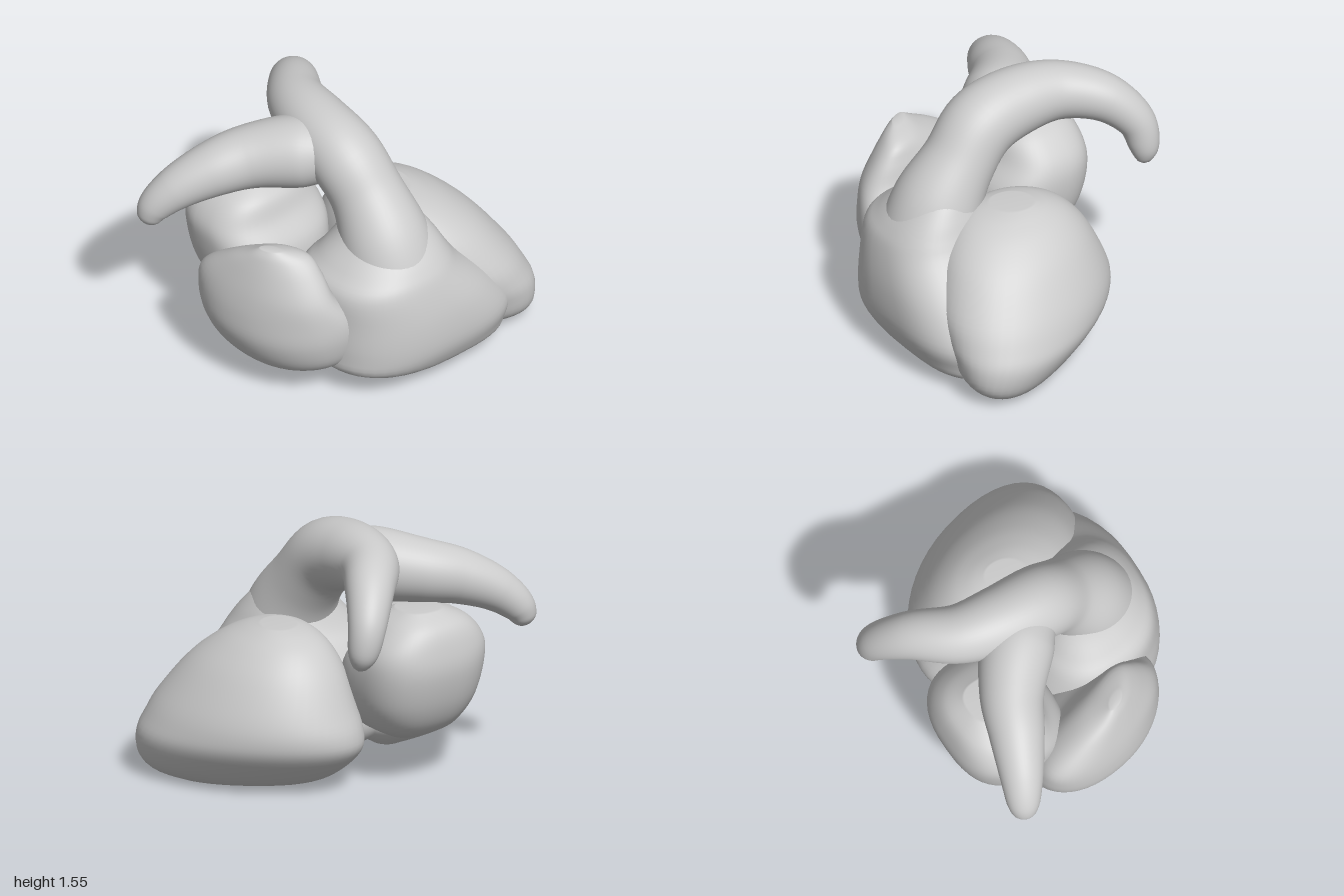
import * as THREE from 'three';

const SIDES = 48;

// Smoothly interpolates one column of a table of sections
function column(rows, k) {
  const spline = new THREE.SplineCurve(rows.map((r, i) => new THREE.Vector2(i, r[k])));
  return t => spline.getPoint(t).y;
}

// Skins closed rings into one smooth surface
function skin(name, rings) {
  const pos = [], index = [];
  rings.forEach(ring => ring.forEach(p => pos.push(p.x, p.y, p.z)));
  for (let i = 0; i < rings.length - 1; i++) {
    for (let j = 0; j < SIDES; j++) {
      const a = i * SIDES + j, b = i * SIDES + (j + 1) % SIDES;
      index.push(a, a + SIDES, b, b, a + SIDES, b + SIDES);
    }
  }
  const geo = new THREE.BufferGeometry();
  geo.setAttribute('position', new THREE.Float32BufferAttribute(pos, 3));
  geo.setIndex(index);
  geo.computeVertexNormals();
  const mesh = new THREE.Mesh(geo, new THREE.MeshStandardMaterial({ color: 0xcccccc }));
  mesh.name = name;
  return mesh;
}

// Chamber from level sections [y, xMin, xMax, zMin, zMax]. Skew slants the oval,
// power < 1 makes it boxier; both are given as [bottom, top]
function chamber(name, rows, skew, power) {
  const cols = [0, 1, 2, 3, 4].map(k => column(rows, k));
  const steps = 40, rings = [];
  for (let i = -1; i <= steps + 1; i++) {
    const t = Math.min(Math.max(i / steps, 0), 1);
    const size = i < 0 || i > steps ? 0 : 1; // closed ends
    const [y, x0, x1, z0, z1] = cols.map(f => f(t));
    const slant = THREE.MathUtils.lerp(...skew, t);
    const exponent = THREE.MathUtils.lerp(...power, t);
    const soft = v => Math.sign(v) * Math.abs(v) ** exponent;
    rings.push(Array.from({ length: SIDES }, (_, j) => {
      const a = j / SIDES * Math.PI * 2;
      return new THREE.Vector3(
        (x0 + x1) / 2 + size * (x1 - x0) / 2 * soft(Math.cos(a)), y,
        (z0 + z1) / 2 + size * (z1 - z0) / 2 * soft(Math.sin(a + slant)));
    }));
  }
  return skin(name, rings);
}

// Tapering vessel along [x, y, z, radius] with a rounded tip
function vessel(name, rows, ref) {
  const path = new THREE.CatmullRomCurve3(rows.map(r => new THREE.Vector3(r[0], r[1], r[2])));
  const radius = column(rows, 3);
  const steps = 60, rings = [];
  for (let i = 0; i <= steps; i++) {
    const t = i / steps;
    const c = path.getPoint(t), dir = path.getTangent(t);
    const n = new THREE.Vector3().crossVectors(dir, ref).normalize();
    const b = new THREE.Vector3().crossVectors(dir, n);
    const end = Math.min(1, (1 - t) / 0.08);
    const r = i === 0 ? 0 : radius(t) * Math.sqrt(1 - (1 - end) ** 2);
    rings.push(Array.from({ length: SIDES }, (_, j) => {
      const a = j / SIDES * Math.PI * 2;
      return c.clone().addScaledVector(n, r * Math.cos(a)).addScaledVector(b, -r * Math.sin(a));
    }));
  }
  return skin(name, rings);
}

export function createModel() {
  const heart = new THREE.Group();
  heart.name = 'heart';

  heart.add(chamber('leftVentricle', [
    [0.005, 0.42, 0.82, 0, 0.45],
    [0.04, 0.2, 0.91, -0.2, 0.64],
    [0.12, 0.08, 0.97, -0.34, 0.74],
    [0.25, 0, 1, -0.47, 0.77],
    [0.36, -0.02, 0.97, -0.49, 0.77],
    [0.5, -0.02, 0.9, -0.44, 0.74],
    [0.7, 0, 0.76, -0.34, 0.63],
    [0.83, 0.05, 0.62, -0.23, 0.5],
    [0.9, 0.12, 0.5, -0.11, 0.37],
    [0.93, 0.2, 0.42, 0, 0.24],
  ], [0.8, -0.2], [1, 0.95]));

  // Wraps the front and narrows upward into the artery
  heart.add(chamber('rightVentricle', [
    [0.03, 0.05, 0.6, 0.2, 0.64],
    [0.09, -0.2, 0.72, 0.02, 0.78],
    [0.17, -0.46, 0.76, -0.1, 0.84],
    [0.3, -0.5, 0.76, -0.14, 0.88],
    [0.5, -0.49, 0.6, -0.08, 0.87],
    [0.7, -0.47, 0.39, 0.03, 0.82],
    [0.8, -0.38, 0.32, 0.1, 0.77],
    [0.9, -0.28, 0.27, 0.15, 0.69],
    [1, -0.2, 0.21, 0.19, 0.59],
    [1.06, -0.14, 0.14, 0.22, 0.5],
  ], [0, 0.25], [0.62, 1]));

  // Rises to a slanted ridge
  heart.add(chamber('rightAtrium', [
    [0.1, -0.46, -0.3, -0.08, 0.1],
    [0.17, -0.72, -0.2, -0.22, 0.42],
    [0.25, -0.82, -0.17, -0.32, 0.55],
    [0.4, -0.89, -0.2, -0.34, 0.6],
    [0.55, -0.9, -0.28, -0.34, 0.6],
    [0.7, -0.88, -0.42, -0.29, 0.55],
    [0.85, -0.83, -0.47, -0.1, 0.46],
    [0.95, -0.78, -0.52, 0.07, 0.37],
    [1, -0.74, -0.66, 0.15, 0.26],
  ], [0, 0.7], [0.95, 0.95]));

  heart.add(chamber('leftAtrium', [
    [0.27, -0.4, -0.15, -0.45, -0.2],
    [0.35, -0.56, -0.02, -0.58, -0.05],
    [0.5, -0.66, 0.07, -0.67, 0],
    [0.7, -0.7, 0.1, -0.72, -0.02],
    [0.85, -0.69, 0.07, -0.71, -0.12],
    [0.98, -0.59, -0.04, -0.66, -0.18],
    [1.06, -0.42, -0.17, -0.55, -0.3],
  ], [0, 0], [0.75, 0.8]));

  // Main artery arching back into its left branch
  heart.add(vessel('arteryTrunkAndLeftBranch', [
    [-0.01, 0.6, 0.5, 0.3],
    [-0.01, 0.87, 0.42, 0.27],
    [-0.01, 1.1, 0.27, 0.22],
    [-0.03, 1.28, 0.1, 0.22],
    [-0.02, 1.35, -0.15, 0.205],
    [0.04, 1.36, -0.4, 0.175],
    [0.2, 1.31, -0.62, 0.145],
    [0.32, 1.16, -0.76, 0.115],
    [0.365, 1.02, -0.785, 0.095],
    [0.39, 0.89, -0.77, 0.06],
  ], new THREE.Vector3(1, 0, 0)));

  heart.add(vessel('arteryRightBranch', [
    [-0.02, 1.3, 0.1, 0.15],
    [-0.17, 1.27, -0.12, 0.215],
    [-0.4, 1.23, -0.32, 0.19],
    [-0.6, 1.18, -0.42, 0.165],
    [-0.8, 1.08, -0.52, 0.13],
    [-0.91, 0.97, -0.58, 0.1],
    [-0.95, 0.86, -0.6, 0.065],
  ], new THREE.Vector3(0, 0, 1)));

  return heart;
}
